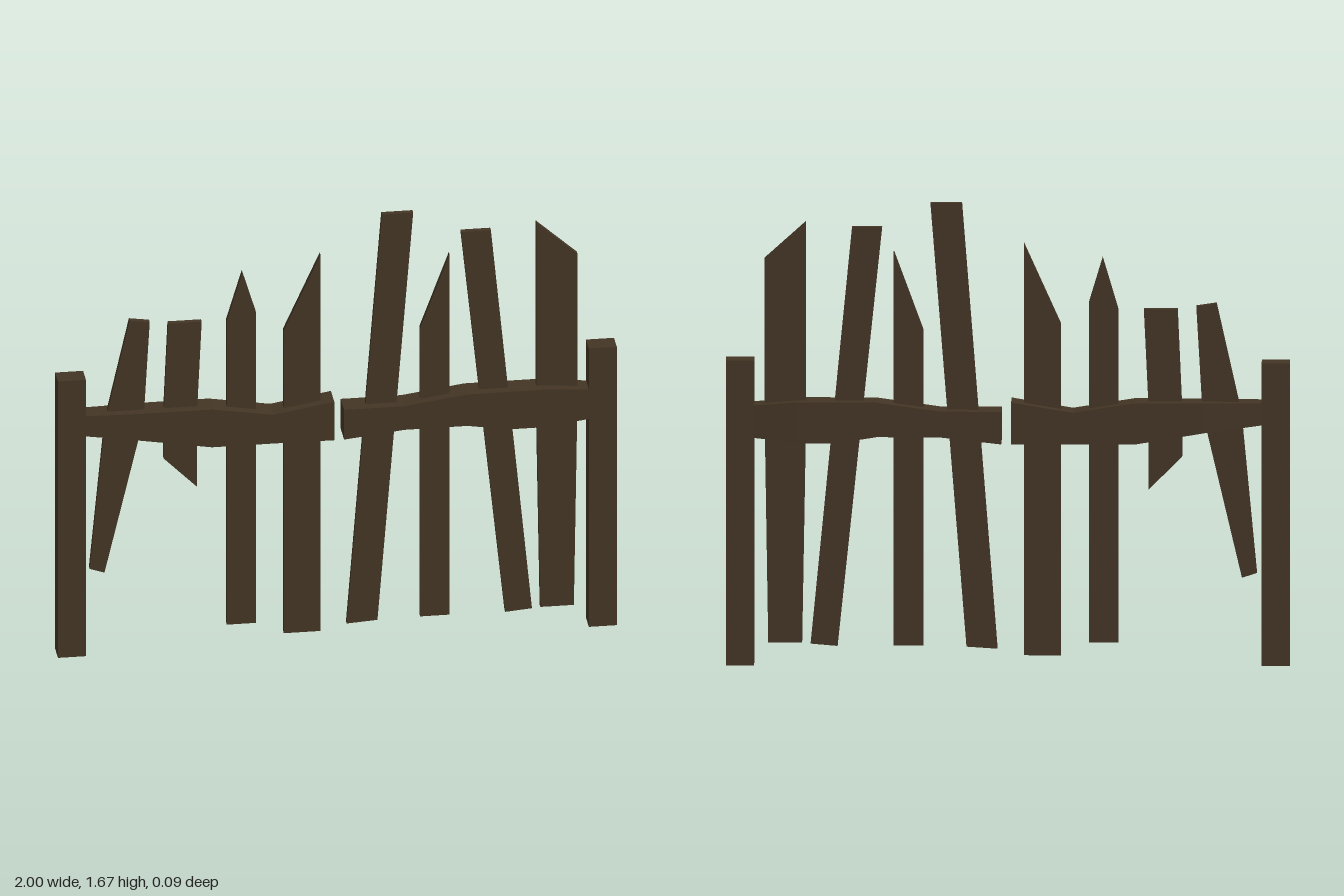
import * as THREE from 'three';

const darkWood = new THREE.MeshStandardMaterial({ color: 0x43351f });
darkWood.name = 'darkWood';
darkWood.color.set(0x433524);

// Flat board cut from an outline, centred on z = 0
function board(name, outline, thickness) {
  const shape = new THREE.Shape(outline.map(([x, y]) => new THREE.Vector2(x, y)));
  const geometry = new THREE.ExtrudeGeometry(shape, { depth: thickness, bevelEnabled: false });
  geometry.translate(0, 0, -thickness / 2);
  const mesh = new THREE.Mesh(geometry, darkWood);
  mesh.name = name;
  return mesh;
}

// Warped beam through rectangular stations [x, bottom, top, half depth]
function rail(name, stations) {
  const n = stations.length - 1;
  const geometry = new THREE.BoxGeometry(1, 1, 1, n, 1, 1);
  const p = geometry.attributes.position;
  for (let i = 0; i < p.count; i++) {
    const [x, bottom, top, half] = stations[Math.round((p.getX(i) + 0.5) * n)];
    p.setXYZ(i, x, p.getY(i) < 0 ? bottom : top, Math.sign(p.getZ(i)) * half);
  }
  const flat = geometry.toNonIndexed();
  flat.computeVertexNormals();
  const mesh = new THREE.Mesh(flat, darkWood);
  mesh.name = name;
  return mesh;
}

export function createModel() {
  const fence = new THREE.Group();
  fence.name = 'brokenFence';

  // End posts
  for (const [name, x, bottom] of [['rightPost', -0.95, 0.008], ['leftPost', 0.95, 0]]) {
    const post = new THREE.Mesh(new THREE.BoxGeometry(0.1, 1.105 - bottom, 0.072), darkWood);
    post.position.set(x, (1.105 + bottom) / 2, 0);
    post.name = name;
    fence.add(post);
  }

  // Two halves of the cross rail, with a gap in the middle
  fence.add(rail('rightRail', [
    [-0.9, 0.88, 0.96, 0.035], [-0.7, 0.853, 0.96, 0.044], [-0.45, 0.81, 0.96, 0.044],
    [-0.23, 0.81, 0.924, 0.044], [-0.012, 0.808, 0.96, 0.044],
  ]));
  fence.add(rail('leftRail', [
    [0.023, 0.808, 0.926, 0.044], [0.24, 0.832, 0.926, 0.044], [0.465, 0.832, 0.957, 0.044],
    [0.61, 0.808, 0.957, 0.044], [0.74, 0.808, 0.957, 0.044], [0.9, 0.825, 0.943, 0.035],
  ]));

  // Pickets, outlines run counter-clockwise
  const pickets = [
    [[-0.883, 0.34], [-0.83, 0.322], [-0.69, 0.92], [-0.668, 1.305], [-0.74, 1.316], [-0.828, 0.92]],
    [[-0.618, 0.76], [-0.499, 0.64], [-0.499, 0.93], [-0.482, 1.294], [-0.602, 1.294], [-0.618, 0.93]],
    [[-0.392, 0.085], [-0.288, 0.085], [-0.288, 1.32], [-0.336, 1.48], [-0.392, 1.29]],
    [[-0.188, 0.037], [-0.057, 0.037], [-0.057, 1.53], [-0.188, 1.238]],
    [[0.037, 0.06], [0.147, 0.067], [0.275, 1.675], [0.163, 1.675]],
    [[0.3, 0.07], [0.405, 0.07], [0.405, 1.5], [0.3, 1.214]],
    [[0.604, 0.067], [0.7, 0.075], [0.553, 1.586], [0.446, 1.586]],
    [[0.73, 0.078], [0.85, 0.078], [0.863, 0.9], [0.863, 1.47], [0.716, 1.604], [0.716, 0.9]],
  ];
  pickets.forEach((outline, i) => fence.add(board(`picket${i + 1}`, outline, 0.02)));

  return fence;
}
